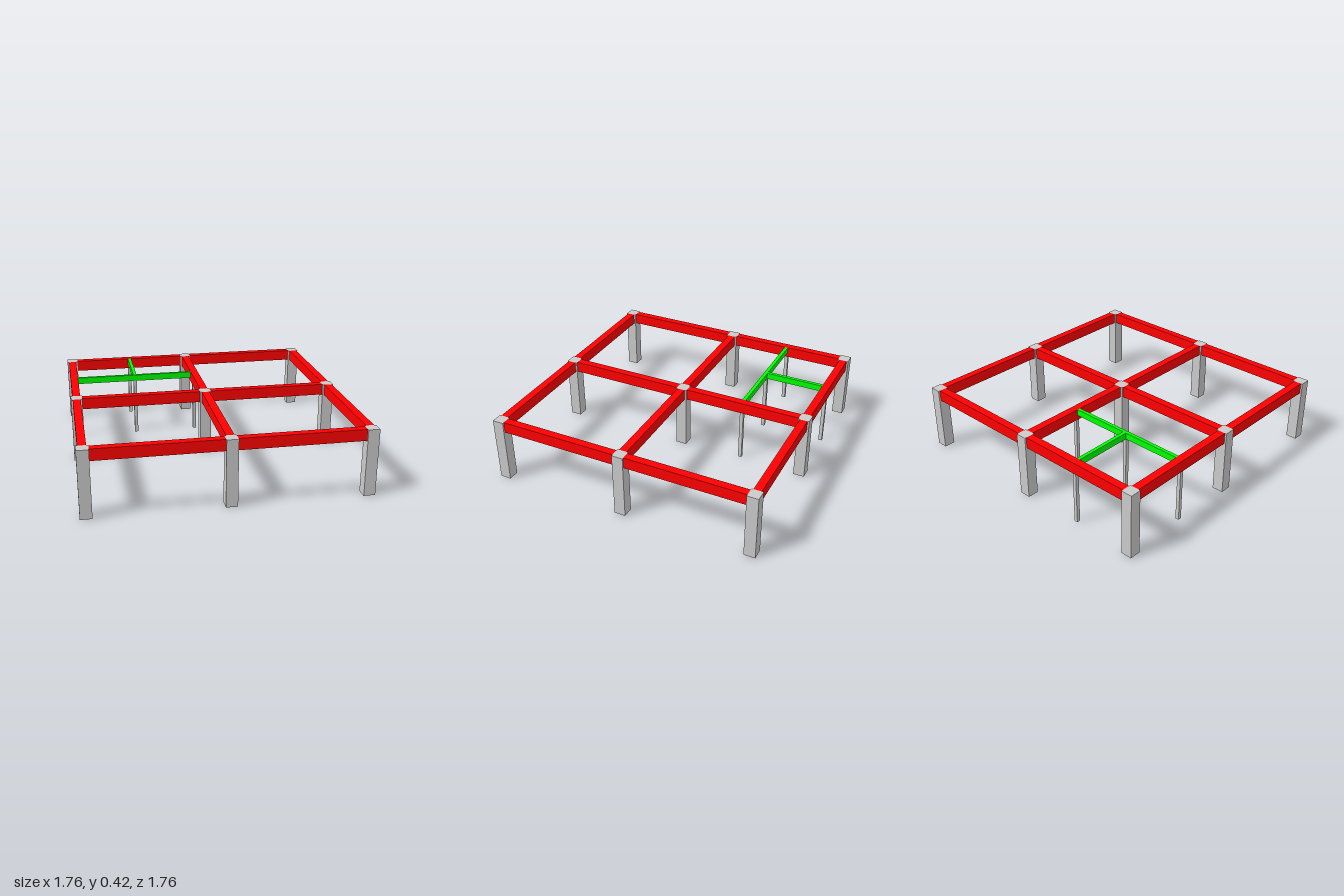
import * as THREE from 'three';

const XS = [-0.964, -0.122, 0.72];    // column grid lines
const ZS = [-0.845, -0.003, 0.839];
const COL = 0.072, TOP = 0.424;       // column side, frame height
const BEAM_W = 0.05, BEAM_H = 0.072;  // main beams
const JOIST_W = 0.023, JOIST_H = 0.042; // secondary beams and posts

export function createModel() {
  const model = new THREE.Group();
  const grey = new THREE.MeshStandardMaterial({ color: 0xcccccc });
  const red = new THREE.MeshStandardMaterial({ color: 0xff0000 });
  const green = new THREE.MeshStandardMaterial({ color: 0x00ff00 });

  // box given by its min and max corners
  const block = (name, material, x0, x1, y0, y1, z0, z1) => {
    const mesh = new THREE.Mesh(new THREE.BoxGeometry(x1 - x0, y1 - y0, z1 - z0), material);
    mesh.position.set((x0 + x1) / 2, (y0 + y1) / 2, (z0 + z1) / 2);
    mesh.name = name;
    model.add(mesh);
  };
  const post = (name, x, z, w, h) =>
    block(name, grey, x - w / 2, x + w / 2, 0, h, z - w / 2, z + w / 2);
  const beamX = (name, mat, x0, x1, z, w, h) =>
    block(name, mat, x0, x1, TOP - h, TOP, z - w / 2, z + w / 2);
  const beamZ = (name, mat, x, z0, z1, w, h) =>
    block(name, mat, x - w / 2, x + w / 2, TOP - h, TOP, z0, z1);

  // three by three columns
  for (const x of XS) for (const z of ZS) post('column', x, z, COL, TOP);

  // main beams span between column faces
  const c = COL / 2;
  for (let i = 0; i < 2; i++) {
    for (const z of ZS) beamX('crossBeam', red, XS[i] + c, XS[i + 1] - c, z, BEAM_W, BEAM_H);
    for (const x of XS) beamZ('sideBeam', red, x, ZS[i] + c, ZS[i + 1] - c, BEAM_W, BEAM_H);
  }

  // T-shaped secondary beams in the back bay
  const b = BEAM_W / 2, j = JOIST_W / 2;
  const midX = (XS[0] + XS[1]) / 2, midZ = (ZS[0] + ZS[1]) / 2;
  beamX('secondaryCrossBeam', green, XS[0] + b, XS[1] - b, midZ, JOIST_W, JOIST_H);
  beamZ('secondarySideBeam', green, midX, ZS[0] + b, midZ - j, JOIST_W, JOIST_H);

  // slender posts under the ends and the junction of the secondary beams
  const mainUnder = TOP - BEAM_H;
  post('slenderPost', XS[0], midZ, JOIST_W, mainUnder);
  post('slenderPost', XS[1], midZ, JOIST_W, mainUnder);
  post('slenderPost', midX, ZS[0], JOIST_W, mainUnder);
  post('slenderPost', midX, midZ, JOIST_W, TOP - JOIST_H);

  return model;
}
